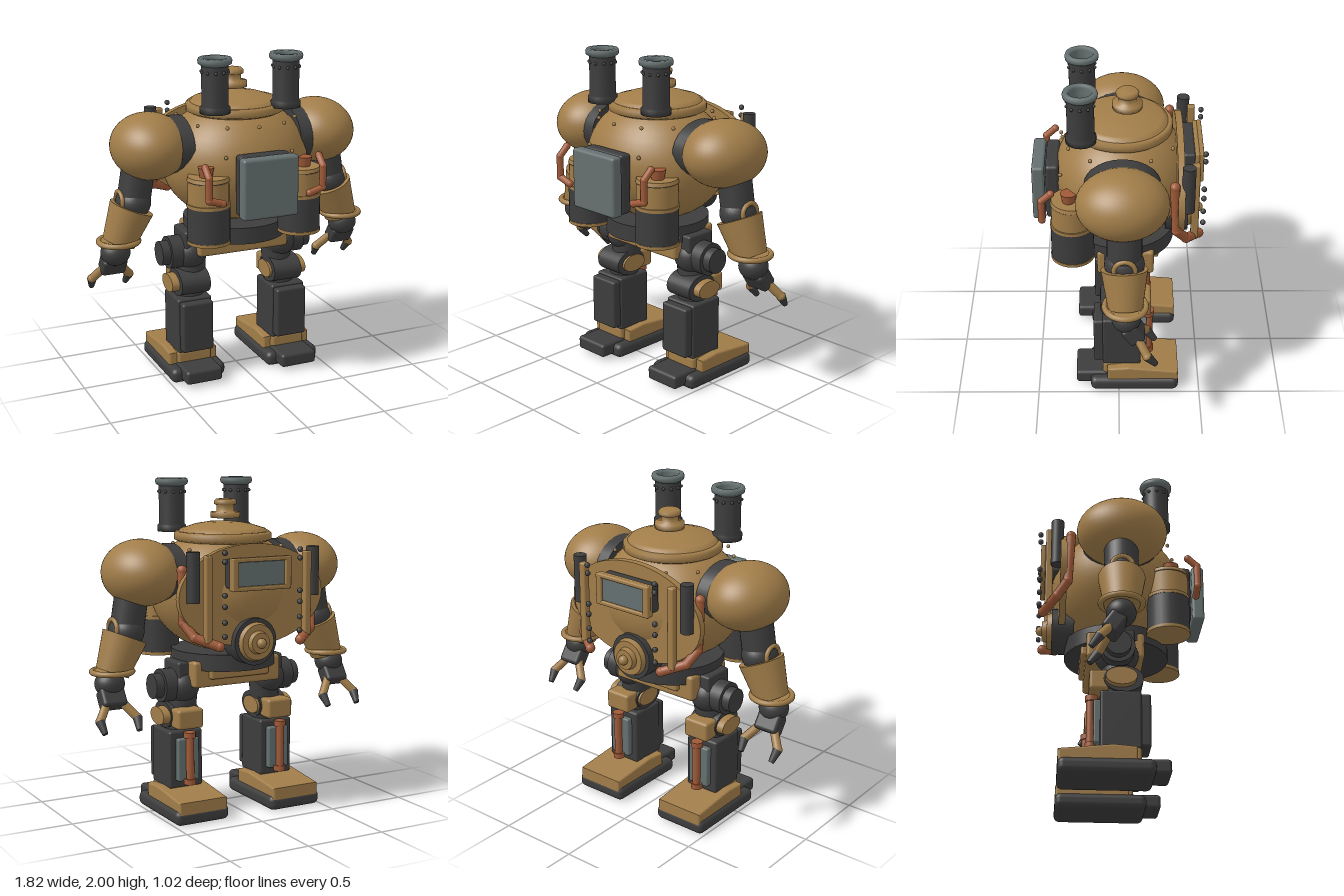
import * as THREE from 'three';
import { RoundedBoxGeometry } from 'three/addons/geometries/RoundedBoxGeometry.js';

const mat = (name, color) => {
  const m = new THREE.MeshStandardMaterial({ color });
  m.name = name;
  return m;
};

export function createModel() {
  const model = new THREE.Group();
  model.name = 'steamRobot';
  const brass = mat('brass', 0xa17d49);
  const iron = mat('darkIron', 0x3d3d3d);
  const steel = mat('steel', 0x667070);
  const copper = mat('copper', 0xa05a38);
  const soot = mat('soot', 0x272727);
  const V = (x, y, z) => new THREE.Vector3(x, y, z);

  const add = (name, geo, material, x = 0, y = 0, z = 0) => {
    const m = new THREE.Mesh(geo, material);
    m.name = name;
    m.position.set(x, y, z);
    model.add(m);
    return m;
  };
  // Rounded box from its size and centre
  const box = (name, material, w, h, d, x, y, z, r = 0.015) =>
    add(name, new RoundedBoxGeometry(w, h, d, 3, r), material, x, y, z);
  const ball = (name, material, rx, ry, rz, x, y, z, seg = 32) => {
    const m = add(name, new THREE.SphereGeometry(1, seg, seg / 2), material, x, y, z);
    m.scale.set(rx, ry, rz);
    return m;
  };
  // Cylinder running from point a (radius ra) to point b (radius rb)
  const rod = (name, material, a, b, ra, rb = ra, seg = 28) => {
    const d = b.clone().sub(a);
    const m = add(name, new THREE.CylinderGeometry(rb, ra, d.length(), seg), material);
    m.position.copy(a).add(b).multiplyScalar(0.5);
    m.quaternion.setFromUnitVectors(V(0, 1, 0), d.normalize());
    return m;
  };
  const lathe = (name, material, pts, x, y, z) =>
    add(name, new THREE.LatheGeometry(pts.map(p => new THREE.Vector2(...p)), 40), material, x, y, z);
  // Angular pipe with ball joints
  const pipe = (name, material, pts, r) => pts.forEach((p, i) => {
    if (i) rod(name, material, pts[i - 1], p, r, r, 14);
    ball(name + 'Joint', material, r * 1.08, r * 1.08, r * 1.08, p.x, p.y, p.z, 14);
  });
  const bolt = (material, x, y, z, r = 0.012) => ball('bolt', material, r, r, r, x, y, z, 10);

  // Boiler body
  ball('body', brass, 0.45, 0.37, 0.4, 0, 1.34, -0.02, 48);
  lathe('domeFlange', brass, [[0, 0], [0.27, 0], [0.295, 0.012], [0.295, 0.045], [0.28, 0.06], [0, 0.06]], 0, 1.63, -0.02);
  lathe('dome', brass, [[0.28, 0], [0.255, 0.03], [0.235, 0.035], [0.17, 0.056], [0.09, 0.07], [0, 0.075]].reverse(), 0, 1.675, -0.02)
    .material.side = THREE.DoubleSide;
  lathe('hatch', brass, [[0, 0], [0.088, 0], [0.088, 0.035], [0.052, 0.038], [0.052, 0.075], [0.066, 0.08],
    [0.068, 0.098], [0.055, 0.112], [0, 0.115]], 0, 1.77, -0.05);
  for (let i = 0; i < 12; i++) {
    const a = i * Math.PI / 6;
    bolt(brass, 0.36 * Math.sin(a), 1.6, -0.01 + 0.345 * Math.cos(a));
  }

  // Front plate
  box('frontPlateBacking', iron, 0.32, 0.36, 0.08, 0, 1.28, 0.39, 0.02);
  box('frontPlate', steel, 0.35, 0.36, 0.075, 0, 1.28, 0.472, 0.018);

  // Back plate, window and round valve
  const plate = rod('backPlate', brass, V(0, 1.34, -0.375), V(0, 1.34, -0.335), 1, 1, 48);
  plate.scale.set(0.48, 1, 0.3);
  box('windowBase', iron, 0.37, 0.17, 0.07, 0, 1.475, -0.41);
  box('windowPanel', brass, 0.39, 0.19, 0.03, 0, 1.475, -0.455, 0.01);
  for (const e of [-1, 1]) {
    box('windowFrame', brass, 0.39, 0.025, 0.03, 0, 1.475 + e * 0.083, -0.477, 0.008);
    box('windowFrame', brass, 0.04, 0.19, 0.03, e * 0.175, 1.475, -0.477, 0.008);
  }
  box('windowPane', steel, 0.31, 0.14, 0.008, 0, 1.475, -0.474, 0.003);
  rod('valveHousing', iron, V(0, 1.07, -0.28), V(0, 1.07, -0.415), 0.14);
  rod('valveDisc', brass, V(0, 1.07, -0.4), V(0, 1.07, -0.445), 0.12, 0.105);
  rod('valveStep', brass, V(0, 1.07, -0.44), V(0, 1.07, -0.475), 0.07, 0.06);
  ball('valveKnob', brass, 0.03, 0.03, 0.03, 0, 1.07, -0.482, 16);

  // Waist and pelvis
  rod('waist', iron, V(0, 0.885, -0.02), V(0, 0.985, -0.02), 0.315, 0.315, 40);
  box('pelvis', brass, 0.59, 0.16, 0.34, 0, 0.86, -0.04, 0.02);
  box('pelvisSide', iron, 0.72, 0.11, 0.2, 0, 0.875, -0.03);
  box('pelvisBackPlate', brass, 0.4, 0.08, 0.05, 0, 0.87, -0.215);

  for (const s of [-1, 1]) {
    const P = (x, y, z) => V(s * x, y, z);

    // Chimney
    const cx = s * 0.225, cz = 0.215;
    lathe('chimney', iron, [[0, 0], [0.088, 0], [0.088, 0.035], [0.078, 0.045], [0.078, 0.285]], cx, 1.68, cz);
    lathe('chimneyRim', steel, [[0.078, 0], [0.097, 0.012], [0.1, 0.03], [0.094, 0.045], [0.07, 0.045], [0.064, 0.03], [0.064, -0.08]], cx, 1.955, cz);
    rod('chimneyBore', soot, V(cx, 1.86, cz), V(cx, 1.9, cz), 0.068);
    for (let i = 0; i < 10; i++) {
      const a = i * Math.PI / 5;
      bolt(iron, cx + 0.08 * Math.cos(a), 1.92, cz + 0.08 * Math.sin(a), 0.01);
    }

    // Front tank with connector and pipe
    const tx = s * 0.293, tz = 0.273;
    rod('tankLower', iron, V(tx, 0.945, tz), V(tx, 1.155, tz), 0.127);
    rod('tankUpper', brass, V(tx, 1.165, tz), V(tx, 1.3, tz), 0.122);
    rod('tankFoot', brass, V(tx, 0.928, tz), V(tx, 0.947, tz), 0.13);
    rod('tankBand', brass, V(tx, 1.15, tz), V(tx, 1.17, tz), 0.13);
    rod('tankTopBand', iron, V(tx, 1.295, tz), V(tx, 1.308, tz), 0.12);
    rod('tankCap', brass, V(tx, 1.305, tz), V(tx, 1.328, tz), 0.127, 0.12);
    rod('tankConnector', copper, P(0.315, 1.325, 0.29), P(0.315, 1.385, 0.29), 0.036, 0.047);
    pipe('frontPipe', copper, [P(0.36, 1.41, 0.39), P(0.36, 1.36, 0.445), P(0.36, 1.23, 0.445), P(0.275, 1.205, 0.445)], 0.021);
    bolt(brass, s * 0.21, 1.44, 0.34);

    // Back details
    box('backStrip', brass, 0.045, 0.5, 0.045, s * 0.33, 1.34, -0.44, 0.01);
    rod('backCanister', iron, P(0.4, 1.32, -0.395), P(0.4, 1.61, -0.395), 0.038);
    pipe('backPipe', copper, [P(0.43, 1.5, -0.315), P(0.43, 1.2, -0.33), P(0.39, 1.12, -0.39), P(0.27, 1.07, -0.47)], 0.028);
    for (const y of [1.605, 1.555, 1.365, 1.3, 1.21, 1.13]) bolt(iron, s * 0.25, y, -0.495, 0.017);

    // Shoulder
    const socket = rod('shoulderSocket', iron, P(0.34, 1.46, -0.02), P(0.44, 1.46, -0.02), 1);
    socket.scale.set(0.17, 1, 0.22);
    ball('shoulder', brass, 0.228, 0.197, 0.265, s * 0.547, 1.465, -0.02, 48);

    // Arm
    rod('upperArm', iron, P(0.61, 1.36, -0.03), P(0.65, 1.12, -0.03), 0.1);
    ball('elbow', iron, 0.105, 0.1, 0.115, s * 0.65, 1.13, -0.03);
    const ring = add('elbowRing', new THREE.TorusGeometry(0.06, 0.014, 12, 28), brass, s * 0.735, 1.145, -0.03);
    ring.rotation.y = Math.PI / 2;
    ring.rotation.x = 0;
    rod('elbowCap', iron, P(0.65, 1.145, -0.03), P(0.735, 1.145, -0.03), 0.062);
    rod('forearm', brass, P(0.66, 1.1, -0.03), P(0.745, 0.89, -0.035), 0.135, 0.1, 36);
    const cuff = add('forearmCuff', new THREE.TorusGeometry(0.118, 0.017, 12, 40), brass, s * 0.745, 0.9, -0.035);
    cuff.rotation.x = Math.PI / 2;
    rod('cuffDisc', brass, P(0.745, 0.892, -0.035), P(0.745, 0.91, -0.035), 0.118);

    // Hand with two jointed fingers
    ball('wrist', iron, 0.09, 0.08, 0.085, s * 0.765, 0.83, -0.04);
    const palm = box('palm', iron, 0.15, 0.12, 0.1, s * 0.77, 0.75, -0.08, 0.02);
    palm.rotation.x = 0.6;
    for (const [x0, x1, x2] of [[0.81, 0.88, 0.87], [0.72, 0.645, 0.655]]) {
      pipe('finger', brass, [P(x0, 0.73, -0.1), P(x1, 0.64, -0.16)], 0.026);
      rod('fingerTip', iron, P(x1, 0.64, -0.16), P(x2, 0.575, -0.21), 0.029, 0.017, 14);
    }

    // Hip and thigh
    rod('hip', iron, P(0.24, 0.785, -0.035), P(0.44, 0.785, -0.035), 0.1);
    rod('hipCap', iron, P(0.43, 0.785, -0.035), P(0.492, 0.785, -0.035), 0.075);
    ball('hipJoint', iron, 0.11, 0.11, 0.13, s * 0.3, 0.78, -0.035);
    rod('thigh', iron, P(0.28, 0.78, -0.035), P(0.305, 0.5, -0.02), 0.09);

    // Knee
    const knee = rod('knee', iron, P(0.215, 0.6, 0), P(0.4, 0.6, 0), 1);
    knee.scale.set(0.08, 1, 0.115);
    const axle = rod('kneeAxle', brass, P(0.2, 0.598, -0.015), P(0.448, 0.598, -0.015), 1);
    axle.scale.set(0.054, 1, 0.09);
    box('kneeBlock', brass, 0.17, 0.12, 0.11, s * 0.31, 0.595, -0.14, 0.018);

    // Shin with piston behind
    box('shin', iron, 0.222, 0.35, 0.235, s * 0.314, 0.342, -0.017);
    box('shinPlate', iron, 0.2, 0.315, 0.07, s * 0.314, 0.345, 0.12);
    box('pistonHousing', steel, 0.14, 0.26, 0.05, s * 0.314, 0.345, -0.145, 0.01);
    rod('piston', copper, P(0.314, 0.21, -0.185), P(0.314, 0.51, -0.185), 0.024);
    for (const y of [0.215, 0.5]) rod('pistonEnd', copper, P(0.314, y - 0.017, -0.18), P(0.314, y + 0.017, -0.18), 0.036);

    // Foot
    box('sole', iron, 0.35, 0.09, 0.545, s * 0.318, 0.05, -0.097, 0.035);
    box('toe', iron, 0.235, 0.085, 0.2, s * 0.318, 0.067, 0.165, 0.02);
    box('ankle', brass, 0.22, 0.09, 0.2, s * 0.318, 0.135, 0.0, 0.02);
    const wedge = new THREE.Shape([[0.06, 0.085], [0.06, 0.155], [-0.06, 0.165], [-0.355, 0.135], [-0.355, 0.085]]
      .map(p => new THREE.Vector2(...p)));
    const foot = new THREE.ExtrudeGeometry(wedge, { depth: 0.29, bevelSize: 0.012, bevelThickness: 0.012, bevelSegments: 3 });
    foot.translate(0, 0, -0.145).rotateY(-Math.PI / 2);
    add('footTop', foot, brass, s * 0.318, 0, 0);
  }
  return model;
}
